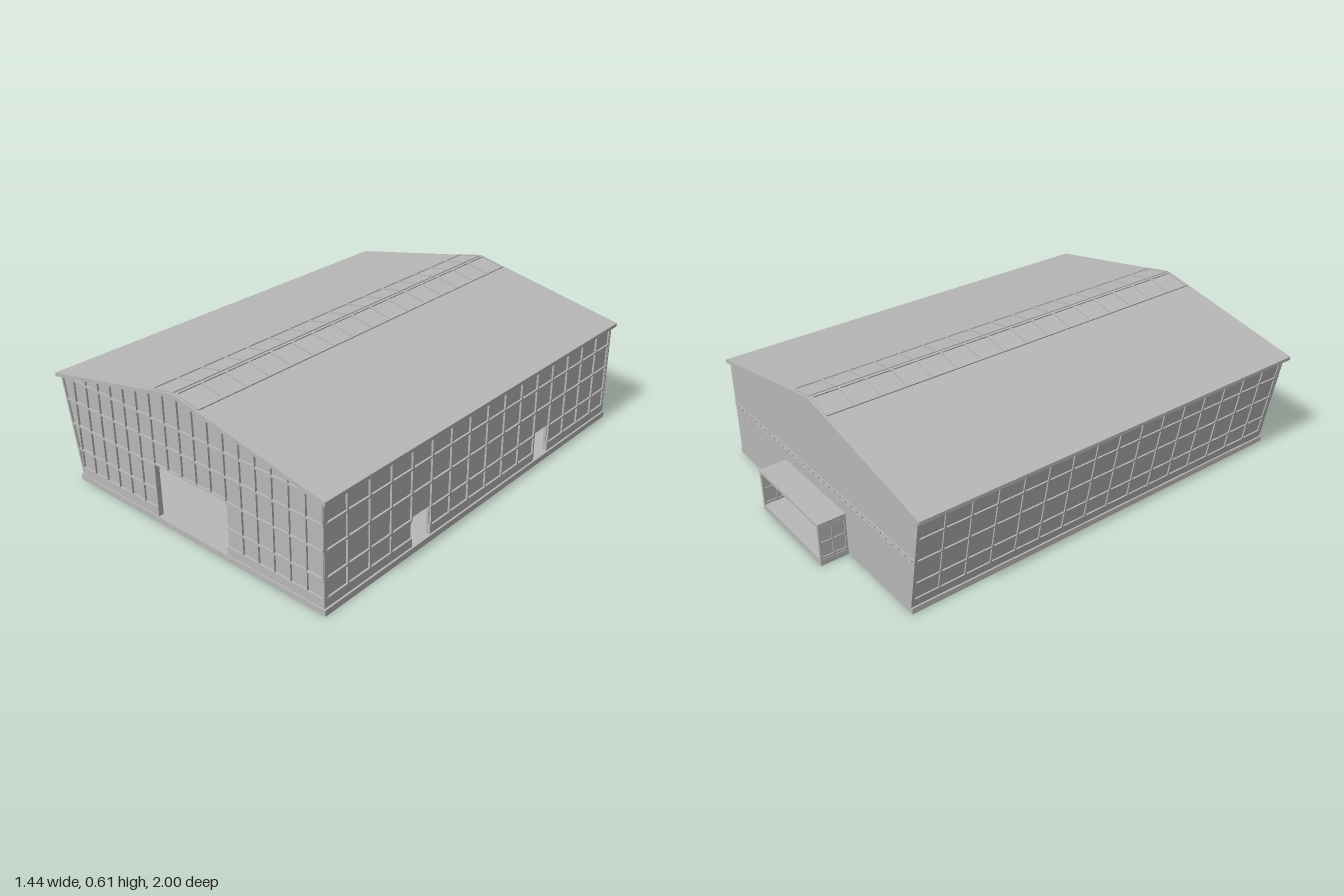
import * as THREE from 'three';

const wallMat = new THREE.MeshStandardMaterial({ color: 0xb8b8b8 });
wallMat.name = 'pale grey';

const SLOPE = 0.2, BASE = 0.025;
const leftEdge = y => -0.628 - (y - BASE) * 0.168; // leaning side wall
const underRoof = x => 0.59 - SLOPE * Math.abs(x);

function add(parent, name, geo) {
  const m = new THREE.Mesh(geo, wallMat);
  m.name = name;
  parent.add(m);
  return m;
}

// box from minimum and maximum corners
function block(parent, name, x0, x1, y0, y1, z0, z1) {
  const m = add(parent, name, new THREE.BoxGeometry(x1 - x0, y1 - y0, z1 - z0));
  m.position.set((x0 + x1) / 2, (y0 + y1) / 2, (z0 + z1) / 2);
  return m;
}

function outline(points) {
  return new THREE.Shape(points.map(p => new THREE.Vector2(...p)));
}

function extrude(shape, depth) {
  return new THREE.ExtrudeGeometry(shape, { depth, bevelEnabled: false });
}

function group(parent, name) {
  const g = new THREE.Group();
  g.name = name;
  parent.add(g);
  return g;
}

// gabled end wall with a doorway cut up from its foot
function gable(parent, name, dx0, dx1, dTop, z) {
  const shape = outline([
    [leftEdge(BASE), BASE], [dx0, BASE], [dx0, dTop], [dx1, dTop], [dx1, BASE],
    [0.7, BASE], [0.7, underRoof(0.7)], [0, 0.59], [-0.698, underRoof(0.698)],
  ]);
  const m = add(parent, name, extrude(shape, 0.014));
  m.position.z = z;
}

export function createModel() {
  const model = new THREE.Group();
  model.name = 'hall';
  const rows = [0.14, 0.25, 0.355];

  // floor slab
  block(model, 'floorSlab', -0.635, 0.71, 0, BASE, -0.88, 0.995);

  // roof sheet
  const roof = group(model, 'roof');
  const sheet = add(roof, 'roofSheet', extrude(outline([
    [-0.72, 0.444], [0, 0.588], [0.72, 0.444], [0.72, 0.459], [0, 0.603], [-0.72, 0.459],
  ]), 1.89));
  sheet.position.z = -0.89;

  // skylight ladder on both sides of the ridge
  for (const s of [-1, 1]) {
    const sky = group(roof, 'skylight');
    sky.position.y = 0.603;
    sky.rotation.z = -s * Math.atan(SLOPE);
    const at = (a, b) => s > 0 ? [a, b] : [-b, -a];
    block(sky, 'skylightRail', ...at(0.003, 0.012), -0.001, 0.005, -0.88, 0.99);
    block(sky, 'skylightRail', ...at(0.122, 0.128), -0.001, 0.005, -0.88, 0.99);
    for (let i = 0; i <= 16; i++) {
      const z = -0.877 + i * 0.1165;
      block(sky, 'skylightBar', ...at(0.012, 0.122), -0.001, 0.005, z - 0.004, z + 0.004);
    }
  }

  // front wall with glazing bars
  const front = group(model, 'frontWall');
  gable(front, 'frontPanel', -0.153, 0.23, 0.255, 0.968);
  const zf = [0.98, 0.99];
  block(front, 'frontSill', leftEdge(BASE), -0.153, BASE, 0.062, ...zf);
  block(front, 'frontSill', 0.23, 0.7, BASE, 0.062, ...zf);
  block(front, 'doorHead', -0.153, 0.23, 0.255, 0.261, ...zf);
  for (let i = -8; i <= 8; i++) {
    const x = i * 0.0775;
    const overDoor = x > -0.15 && x < 0.235;
    block(front, 'frontMullion', x - 0.003, x + 0.003, overDoor ? 0.255 : 0.06, underRoof(x), ...zf);
  }
  for (const y of [...rows, 0.452]) {
    const x0 = Math.max(leftEdge(y), -0.68);
    if (y < 0.255) {
      block(front, 'frontTransom', x0, -0.153, y - 0.004, y + 0.004, ...zf);
      block(front, 'frontTransom', 0.23, 0.7, y - 0.004, y + 0.004, ...zf);
    } else {
      block(front, 'frontTransom', x0, y > 0.4 ? 0.67 : 0.7, y - 0.004, y + 0.004, ...zf);
    }
  }
  block(front, 'cornerPost', 0.692, 0.7, BASE, 0.45, ...zf);
  const leanPost = add(front, 'cornerPost', extrude(outline([
    [leftEdge(BASE), BASE], [leftEdge(BASE) + 0.009, BASE], [-0.689, 0.45], [-0.698, 0.45],
  ]), 0.01));
  leanPost.position.z = 0.98;

  // upright side wall with two doorways
  const side = group(model, 'uprightSideWall');
  const doors = [[-0.403, -0.3], [0.41, 0.517]];
  const doorTop = 0.145;
  const pts = [[-0.88, BASE]];
  for (const [a, b] of doors) pts.push([a, BASE], [a, doorTop], [b, doorTop], [b, BASE]);
  pts.push([0.98, BASE], [0.98, 0.45], [-0.88, 0.45]);
  const panel = add(side, 'sidePanel', extrude(outline(pts), 0.012).rotateY(-Math.PI / 2));
  panel.position.x = 0.694;
  const xs = [0.693, 0.702];
  for (let i = 0; i <= 16; i++) {
    const z = -0.876 + i * 0.1162;
    const blocked = doors.some(([a, b]) => z > a - 0.004 && z < b + 0.004);
    block(side, 'sideMullion', ...xs, blocked ? doorTop : 0.06, 0.45, z - 0.004, z + 0.004);
  }
  for (const y of rows.slice(1)) block(side, 'sideTransom', ...xs, y - 0.004, y + 0.004, -0.88, 0.99);
  // lower rails stop at the doorways
  const spans = [[-0.88, doors[0][0]], [doors[0][1], doors[1][0]], [doors[1][1], 0.99]];
  for (const [a, b] of spans) {
    block(side, 'sideSill', ...xs, BASE, 0.062, a, b);
    block(side, 'sideTransom', ...xs, 0.136, 0.144, a, b);
  }

  // leaning side wall, built upright and tilted about its foot
  const lean = group(model, 'leaningSideWall');
  lean.position.set(leftEdge(BASE), BASE, 0);
  lean.rotation.z = Math.atan(0.168);
  block(lean, 'leaningPanel', 0.006, 0.016, 0, 0.425, -0.88, 0.98);
  block(lean, 'leaningSill', 0, 0.008, 0, 0.037, -0.88, 0.99);
  for (let i = 0; i <= 16; i++) {
    const z = -0.876 + i * 0.1162;
    block(lean, 'leaningMullion', 0, 0.008, 0.035, 0.425, z - 0.004, z + 0.004);
  }
  for (const y of rows) block(lean, 'leaningTransom', 0, 0.008, y - 0.03, y - 0.022, -0.88, 0.99);

  // back wall with a narrow ribbon window
  const back = group(model, 'backWall');
  gable(back, 'backPanel', -0.185, 0.25, 0.176, -0.88);
  for (const y of [0.244, 0.26]) {
    block(back, 'ribbonRail', leftEdge(y), 0.7, y - 0.002, y + 0.002, -0.884, -0.879);
  }
  for (let i = 0; i < 34; i++) {
    const x = -0.65 + i * 0.04;
    block(back, 'ribbonBar', x - 0.002, x + 0.002, 0.246, 0.258, -0.884, -0.879);
  }

  // open porch at the back, with glazed cheeks
  const porch = group(model, 'porch');
  block(porch, 'porchFloor', -0.2, 0.265, 0, BASE, -1, -0.88);
  block(porch, 'porchRoof', -0.2, 0.265, 0.176, 0.19, -1, -0.88);
  for (const x of [-0.193, 0.258]) {
    block(porch, 'porchGlass', x - 0.003, x + 0.003, BASE, 0.176, -0.996, -0.88);
    for (const z of [-0.996, -0.94, -0.885]) {
      block(porch, 'porchPost', x - 0.007, x + 0.007, BASE, 0.176, z - 0.004, z + 0.004);
    }
    for (const y of [0.032, 0.1, 0.17]) {
      block(porch, 'porchRail', x - 0.007, x + 0.007, y - 0.005, y + 0.005, -0.995, -0.88);
    }
  }
  return model;
}
